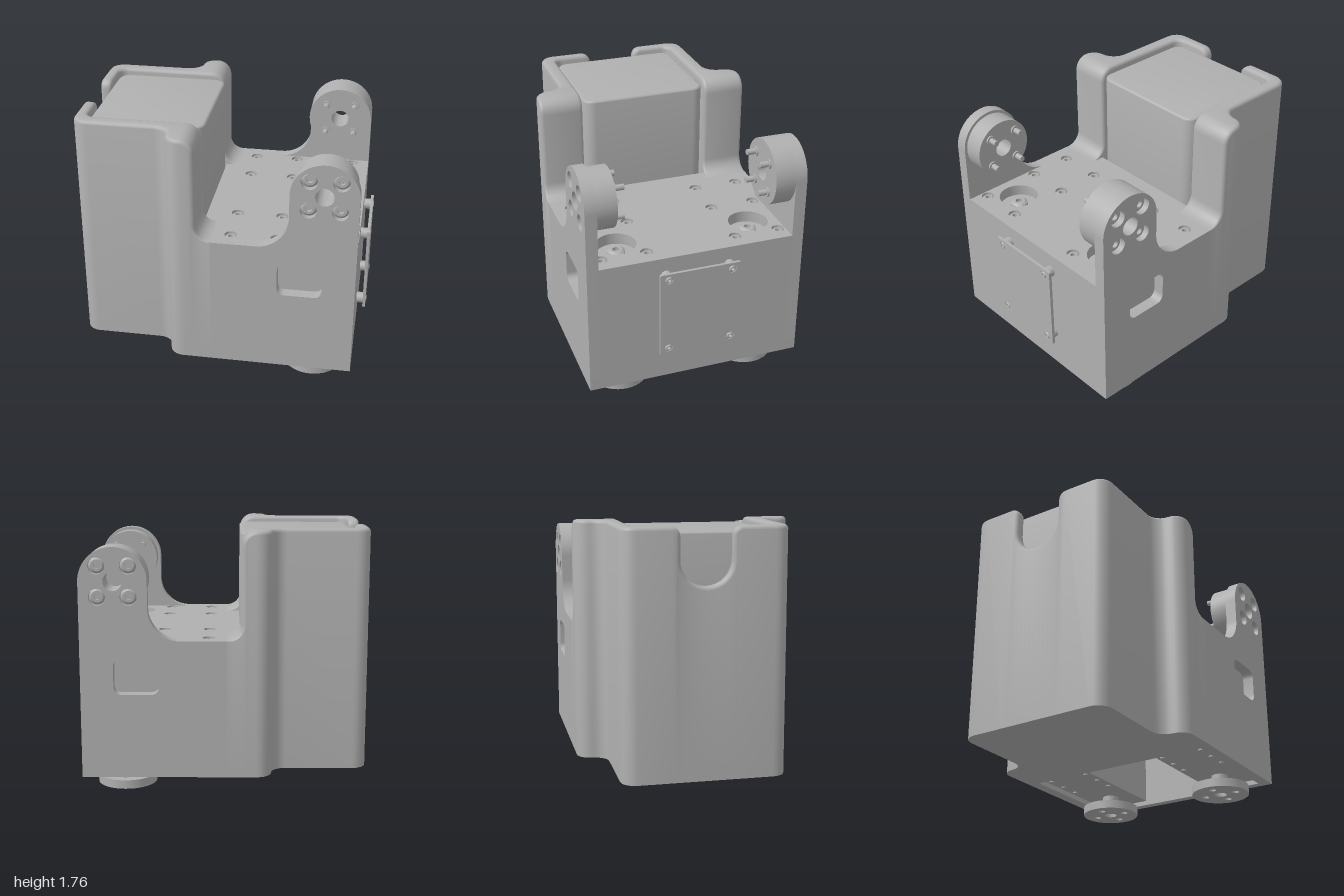
import * as THREE from 'three';
import { toCreasedNormals } from 'three/addons/utils/BufferGeometryUtils.js';

const grey = new THREE.MeshStandardMaterial({ color: 0xb0b0b0 });
grey.name = 'plain grey';

const BASE = 0.11, DECK = 1.04, TOP = 1.76, Q = Math.PI / 2;
const HORN = [0.705, 1.435], BOLT = 0.1025, FOOT = [0.65, 0.47];
const corners = (d) => [[d, d], [-d, d], [-d, -d], [d, -d]];

function createModel() {
  const model = new THREE.Group();
  model.name = 'chassis';

  const add = (name, geo, x = 0, y = 0, z = 0, parent = model) => {
    const mesh = new THREE.Mesh(geo, grey);
    mesh.name = name;
    mesh.position.set(x, y, z);
    parent.add(mesh);
    return mesh;
  };
  const box = (name, x0, x1, y0, y1, z0, z1) =>
    add(name, new THREE.BoxGeometry(x1 - x0, y1 - y0, z1 - z0), (x0 + x1) / 2, (y0 + y1) / 2, (z0 + z1) / 2);
  const circle = (x, y, r, T = THREE.Path) => new T().absarc(x, y, r, 0, Math.PI * 2);
  const roundRect = (x0, x1, y0, y1, r, T = THREE.Path) => {
    const p = new T();
    p.absarc(x1 - r, y1 - r, r, 0, Q);
    p.absarc(x0 + r, y1 - r, r, Q, 2 * Q);
    p.absarc(x0 + r, y0 + r, r, 2 * Q, 3 * Q);
    p.absarc(x1 - r, y0 + r, r, 3 * Q, 4 * Q);
    p.closePath();
    return p;
  };
  const extrude = (shape, depth, holes = [], bevel = 0) => {
    shape.holes.push(...holes);
    return toCreasedNormals(new THREE.ExtrudeGeometry(shape, {
      depth: depth - 2 * bevel, curveSegments: 20, bevelEnabled: bevel > 0,
      bevelSize: bevel, bevelThickness: bevel, bevelOffset: -bevel, bevelSegments: 3,
    }).translate(0, 0, bevel), 0.6);
  };
  // Socket screw head: top at y = 0, pointing up
  const screwGeo = (r) => toCreasedNormals(new THREE.LatheGeometry(
    [[0, -0.025], [r * 0.4, -0.025], [r * 0.4, 0], [r * 0.72, 0], [r, -0.012], [r, -0.05]]
      .reverse().map(([x, y]) => new THREE.Vector2(x, y)), 20), 0.5);

  // Rear wall: stations with outer and inner plan points, top height and top normal
  const half = [];
  const station = (o, no, i, ni, y, n = [0, 1, 0], r = 0.025) => half.push({ o, no, i, ni, y, n, r });
  const steps = (count, fn) => { for (let k = 0; k <= count; k++) fn(k / count * Q, k / count); };
  const rear = (z, y, n) => station([-1, z], [-1, 0], [-0.92, z], [1, 0], y, n);
  steps(8, (a) => rear(0.17 * Math.sin(a), 1.55 - 0.17 * Math.cos(a), [0, Math.cos(a), -Math.sin(a)]));
  steps(5, (a) => rear(0.23 - 0.06 * Math.cos(a), 1.7 + 0.06 * Math.sin(a), [0, Math.sin(a), -Math.cos(a)]));
  steps(6, (a) => {
    const c = Math.cos(a), s = Math.sin(a);
    station([-0.9 - 0.1 * c, 0.45 + 0.1 * s], [-c, s], [-0.86 - 0.06 * c, 0.39 + 0.06 * s], [c, -s], TOP);
  });
  const flank = (x, z, no, y = TOP, n, r) => station([x, z], no, [x, 0.45], [0, -1], y, n, r);
  steps(6, (a) => flank(-0.44 + 0.1 * Math.sin(a), 0.65 - 0.1 * Math.cos(a), [-Math.sin(a), Math.cos(a)]));
  steps(6, (a) => flank(-0.24 - 0.1 * Math.cos(a), 0.65 + 0.1 * Math.sin(a), [-Math.cos(a), Math.sin(a)]));
  steps(8, (a) => flank(-0.24 + 0.1 * Math.sin(a), 0.75, [0, 1], 1.66 + 0.1 * Math.cos(a),
    [Math.sin(a), Math.cos(a), 0]));
  steps(8, (a, t) => flank(-0.04 - 0.1 * Math.cos(a), 0.75, [0, 1], 1.14 - 0.1 * Math.sin(a),
    [Math.cos(a), Math.sin(a), 0], 0.025 * (1 - t)));

  const flip = ([x, z]) => [x, -z];
  const mirrored = half.slice(1).reverse().map((s) => ({
    ...s, o: flip(s.o), no: flip(s.no), i: flip(s.i), ni: flip(s.ni), n: [s.n[0], s.n[1], -s.n[2]],
  }));
  const stations = [...mirrored, ...half];
  const pos = [], idx = [], RING = 10;
  for (const { o, no, i, ni, y, n, r } of stations) {
    const edge = (p, d, k) => {
      const u = r * (1 - Math.cos(k * Q / 3)), v = r * (1 - Math.sin(k * Q / 3));
      pos.push(p[0] - d[0] * u - n[0] * v, y - n[1] * v, p[1] - d[1] * u - n[2] * v);
    };
    const foot = (p) => pos.push(p[0] - n[0] * r, BASE, p[1] - n[2] * r);
    foot(o);
    for (let k = 0; k < 4; k++) edge(o, no, k);
    for (let k = 3; k >= 0; k--) edge(i, ni, k);
    foot(i);
  }
  for (let s = 0; s < stations.length - 1; s++) {
    for (let k = 0; k < RING; k++) {
      const a = s * RING + k, c = s * RING + (k + 1) % RING;
      idx.push(a, a + RING, c, a + RING, c + RING, c);
    }
  }
  const wall = new THREE.BufferGeometry();
  wall.setAttribute('position', new THREE.Float32BufferAttribute(pos, 3));
  wall.setIndex(idx);
  add('rearWall', toCreasedNormals(wall, 0.6));

  // Floor, bulkhead, front panel and the boxed pack in the rear bay
  box('rearFloor', -0.93, 0, BASE, 0.2, -0.46, 0.46);
  box('bulkhead', -0.13, 0, BASE, 0.97, -0.68, 0.68);
  box('endPanel', 0.87, 0.93, BASE, DECK, -0.68, 0.68);
  add('rearPack', extrude(roundRect(-0.91, -0.13, -0.44, 0.44, 0.08, THREE.Shape), 1.57, [], 0.015)
    .rotateX(-Q), 0, 0.15, 0);

  // Deck with screw holes and two round openings
  const deckScrews = [];
  for (const x of [0.08, 0.39, 0.81]) for (const z of [-0.62, -0.31, 0.31, 0.62]) deckScrews.push([x, z]);
  const deckShape = new THREE.Shape([[-0.13, -0.68], [0.93, -0.68], [0.93, 0.68], [-0.13, 0.68]]
    .map(([x, y]) => new THREE.Vector2(x, y)));
  add('deck', extrude(deckShape, 0.08, [
    ...deckScrews.map(([x, z]) => circle(x, z, 0.043)),
    circle(FOOT[0], FOOT[1], 0.135), circle(FOOT[0], -FOOT[1], 0.135),
  ]).rotateX(-Q), 0, DECK - 0.08, 0);
  const deckScrew = screwGeo(0.043);
  deckScrews.forEach(([x, z]) => add('deckScrew', deckScrew, x, DECK - 0.01, z));

  // Side panel with raised ear, window and bolt holes
  const side = new THREE.Shape();
  side.moveTo(-0.04, BASE);
  side.lineTo(0.93, BASE);
  side.absarc(HORN[0], HORN[1], 0.225, 0, Math.PI);
  side.absarc(0.26, 1.26, 0.22, 0, -Q, true);
  side.lineTo(-0.04, DECK);
  const sideGeo = extrude(side, 0.08, [
    roundRect(0.41, 0.71, 0.68, 0.92, 0.05), circle(...HORN, 0.062),
    ...corners(BOLT).map(([x, y]) => circle(HORN[0] + x, HORN[1] + y, 0.055)),
  ]);
  const earScrew = screwGeo(0.055);
  const footGeo = extrude(circle(0, 0, 0.203, THREE.Shape), 0.06,
    [circle(0, 0, 0.045), ...[0, 1, 2, 3].map((k) => circle(0.12 * Math.cos(k * Q), 0.12 * Math.sin(k * Q), 0.025))])
    .rotateX(-Q);
  const hornScrew = screwGeo(0.06);

  for (const s of [1, -1]) {
    add('sidePanel', sideGeo, 0, 0, s > 0 ? 0.67 : -0.75);

    // Round hub on the ear, with four pins facing inward
    add('earHub', extrude(circle(0, 0, s > 0 ? 0.205 : 0.225, THREE.Shape), 0.14, [circle(0, 0, 0.062)]),
      ...HORN, s > 0 ? 0.53 : -0.67);
    for (const [x, y] of corners(BOLT)) {
      const px = HORN[0] + x, py = HORN[1] + y;
      add('hubPin', new THREE.CylinderGeometry(0.02, 0.02, 0.09, 16).rotateX(Q), px, py, s * 0.505);
      add('pinCollar', new THREE.CylinderGeometry(0.033, 0.033, 0.02, 16).rotateX(Q), px, py, s * 0.528);
      add('earScrew', earScrew, px, py, s * 0.72).rotation.x = s * Q;
    }

    // Motor block, its foot disc below and its bearing above
    const z = s * FOOT[1];
    box('motorBlock', 0.03, 0.86, 0.14, 0.95, z - 0.19, z + 0.19);
    add('footDisc', footGeo, FOOT[0], 0, z);
    add('footNeck', new THREE.CylinderGeometry(0.083, 0.083, 0.03, 28), FOOT[0], 0.075, z);
    add('footShaft', new THREE.CylinderGeometry(0.06, 0.06, 0.06, 28), FOOT[0], 0.115, z);
    add('footScrew', screwGeo(0.035), FOOT[0], 0.03, z).rotation.x = Math.PI;
    add('topBearing', new THREE.CylinderGeometry(0.085, 0.085, 0.02, 28), FOOT[0], 0.955, z);
    add('bearingScrew', hornScrew, FOOT[0], 1, z);
    for (const x of [0.09, 0.24, 0.39]) for (const dz of [-0.15, 0.15]) {
      add('motorScrew', new THREE.CylinderGeometry(0.018, 0.018, 0.012, 12), x, 0.137, z + dz);
    }
  }

  // Thin cover plate on stand-offs
  const plate = new THREE.Group();
  plate.name = 'coverPlate';
  plate.position.set(0.93, 0.645, 0);
  model.add(plate);
  const posts = [[0.22, 0.265], [-0.22, 0.265], [0.22, -0.265], [-0.22, -0.265]];
  add('plate', extrude(roundRect(-0.28, 0.28, -0.31, 0.31, 0.008, THREE.Shape), 0.02,
    posts.map(([x, y]) => circle(x, y, 0.027))).rotateY(Q), 0.045, 0, 0, plate);
  for (const [z, y] of posts) {
    add('standOff', new THREE.CylinderGeometry(0.038, 0.038, 0.045, 20).rotateZ(Q), 0.0225, y, z, plate);
    add('plateScrew', screwGeo(0.027), 0.07, y, z, plate).rotation.z = -Q;
  }
  return model;
}

export { createModel };
